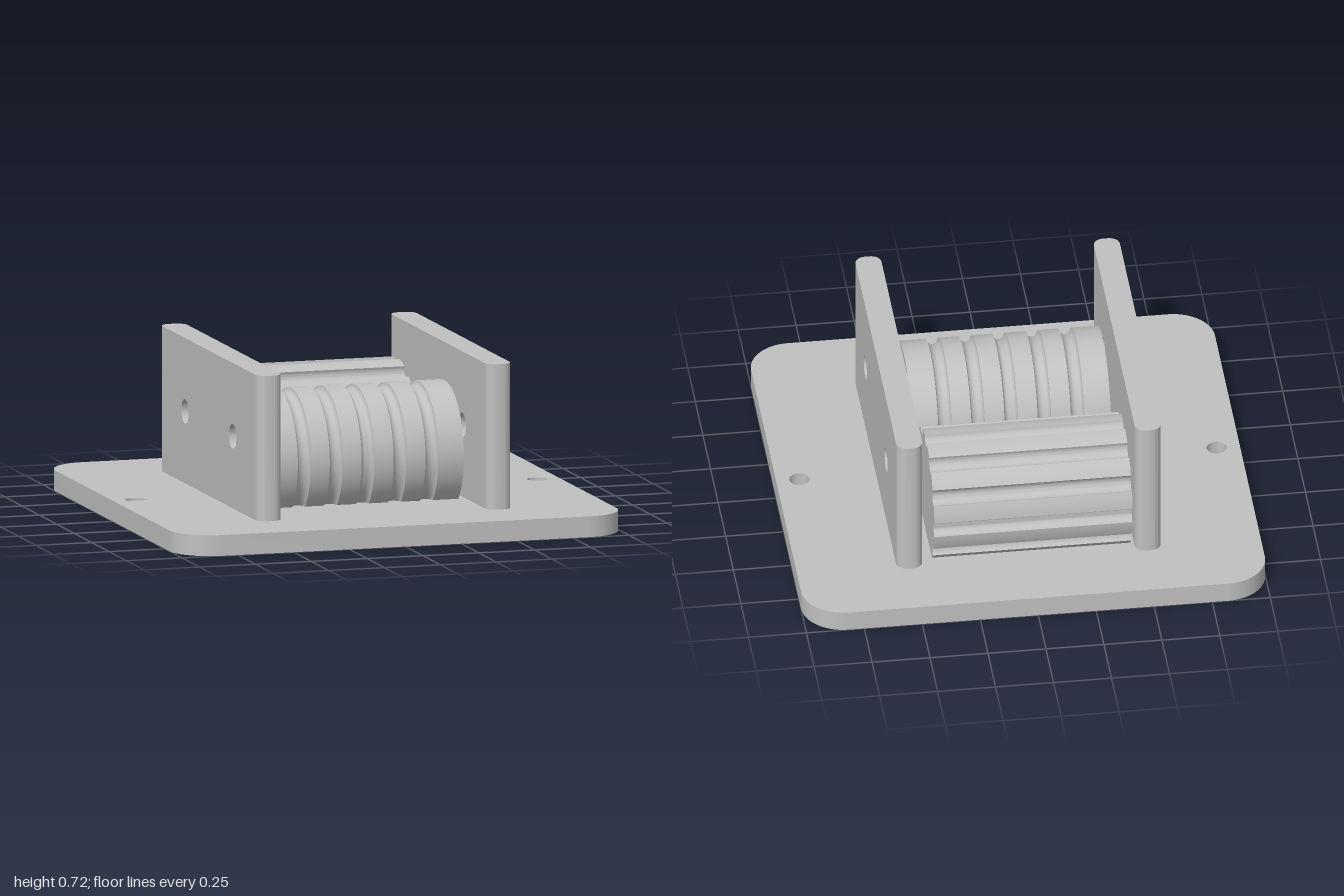
import * as THREE from 'three';
import { mergeGeometries, toCreasedNormals } from 'three/addons/utils/BufferGeometryUtils.js';

const BASE_H = 0.09, WALL_TOP = 0.72, AXLE_Y = 0.29;

// Rectangle centred on the origin with the given corner radius
function roundedRect(w, h, r) {
  const s = new THREE.Shape(), x = w / 2 - r, y = h / 2 - r;
  [[x, y], [-x, y], [-x, -y], [x, -y]].forEach(([cx, cy], i) =>
    s.absarc(cx, cy, r, i * Math.PI / 2, (i + 1) * Math.PI / 2, false));
  s.closePath();
  return s;
}

function addHole(shape, x, y, r) {
  const p = new THREE.Path();
  p.absarc(x, y, r, 0, Math.PI * 2, true);
  shape.holes.push(p);
}

const extrude = (shape, depth) =>
  new THREE.ExtrudeGeometry(shape, { depth, bevelEnabled: false, curveSegments: 16 });

// Side wall: a drilled slab with rounded end strips
function wallGeometry() {
  const thick = 0.112, half = 0.713, r = 0.045, h = WALL_TOP - BASE_H, flat = half - r;
  const side = new THREE.Shape();
  side.moveTo(-flat, BASE_H);
  side.lineTo(flat, BASE_H);
  side.lineTo(flat, WALL_TOP);
  side.lineTo(-flat, WALL_TOP);
  side.closePath();
  for (const z of [0.345, -0.34]) addHole(side, -z, 0.402, 0.053);
  const slab = extrude(side, thick).rotateY(Math.PI / 2).translate(-thick / 2, 0, 0);

  const end = new THREE.Shape(), t = thick / 2;
  end.moveTo(-t, flat);
  end.lineTo(t, flat);
  end.absarc(t - r, flat, r, 0, Math.PI / 2, false);
  end.absarc(r - t, flat, r, Math.PI / 2, Math.PI, false);
  const back = extrude(end, h).rotateX(-Math.PI / 2).translate(0, BASE_H, 0);
  const front = back.clone().rotateY(Math.PI);
  return toCreasedNormals(mergeGeometries([slab, back, front]), 0.5);
}

// Roller with ring grooves around it
function groovedRoller(length, R) {
  const pts = [new THREE.Vector2(0, -length / 2), new THREE.Vector2(R, -length / 2)];
  for (let g = -2; g <= 2; g++) {
    for (let i = 0; i <= 10; i++) {
      const a = i / 10 * Math.PI;
      pts.push(new THREE.Vector2(R - 0.025 * Math.sin(a), g * 0.143 - 0.029 * Math.cos(a)));
    }
  }
  pts.push(new THREE.Vector2(R, length / 2), new THREE.Vector2(0, length / 2));
  return toCreasedNormals(new THREE.LatheGeometry(pts, 72).rotateZ(-Math.PI / 2), 0.6);
}

// Roller with lengthwise flutes
function flutedRoller(length, R, count, r) {
  const s = new THREE.Shape(), step = Math.PI * 2 / count, w = 2 * Math.asin(r / (2 * R));
  for (let k = 0; k < count; k++) {
    const a = k * step;
    s.absarc(R * Math.cos(a), R * Math.sin(a), r, a - w / 2 - Math.PI / 2, a + w / 2 + Math.PI / 2, true);
    s.absarc(0, 0, R, a + w, a + step - w, false);
  }
  s.closePath();
  const g = extrude(s, length).rotateY(Math.PI / 2).translate(-length / 2, 0, 0);
  return toCreasedNormals(g, 0.5);
}

export function createModel() {
  const model = new THREE.Group();
  const grey = new THREE.MeshStandardMaterial({ color: 0xc0c0c0 });
  grey.name = 'plain grey';
  const add = (name, geometry, x, y, z) => {
    const mesh = new THREE.Mesh(geometry, grey);
    mesh.name = name;
    mesh.position.set(x, y, z);
    model.add(mesh);
  };

  // Base plate with two mounting holes
  const plate = roundedRect(2, 2, 0.18);
  for (const x of [-0.9, 0.9]) addHole(plate, x, 0, 0.043);
  add('basePlate', toCreasedNormals(extrude(plate, BASE_H).rotateX(-Math.PI / 2), 0.5), 0, 0, 0);

  // Side walls
  const wall = wallGeometry();
  add('leftWall', wall, 0.514, 0, 0);
  add('rightWall', wall, -0.514, 0, 0);

  // Rollers
  add('groovedRoller', groovedRoller(0.858, 0.284), -0.004, AXLE_Y, 0.192);
  add('flutedRoller', flutedRoller(0.855, 0.282, 12, 0.035), -0.015, AXLE_Y, -0.447);
  return model;
}
